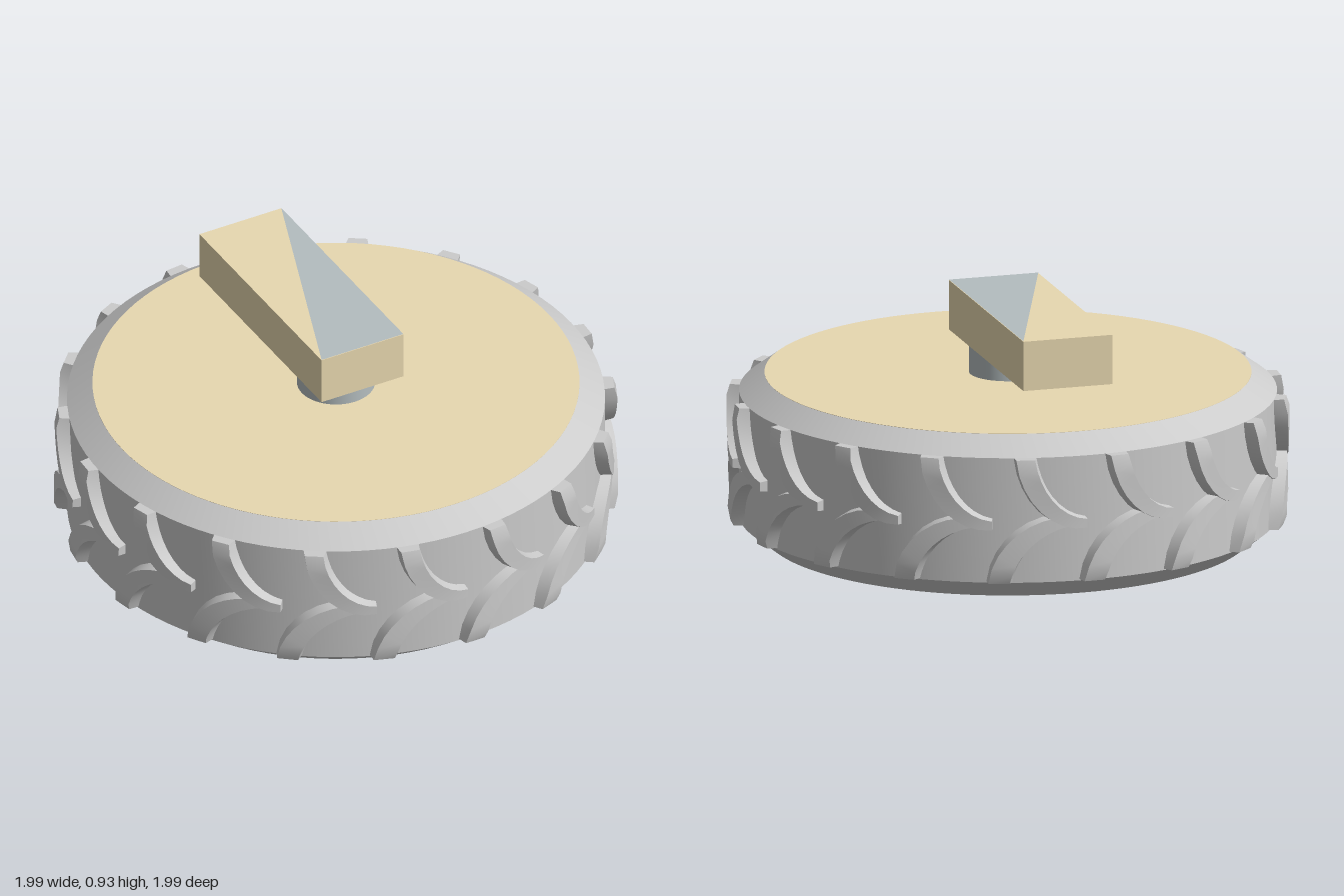
import * as THREE from 'three';
import { toCreasedNormals } from 'three/addons/utils/BufferGeometryUtils.js';

const rubber = new THREE.MeshStandardMaterial({ color: 0xcccccc });
const tan = new THREE.MeshStandardMaterial({ color: 0xe8d8b0 });
const slate = new THREE.MeshStandardMaterial({ color: 0xb4bdbf });
const rad = THREE.MathUtils.degToRad;

function add(parent, name, geometry, material, x = 0, y = 0, z = 0) {
  const mesh = new THREE.Mesh(geometry, material);
  mesh.name = name;
  mesh.position.set(x, y, z);
  parent.add(mesh);
  return mesh;
}

// Curved tread lug: a box section swept from the tyre edge to the centre line.
// dir +1 climbs from the lower edge, -1 descends from the upper edge.
function lugGeometry(dir, yEdge, yEnd, sweep, wide, narrow) {
  const steps = 8, pos = [], index = [];
  const path = t => [sweep * (1 - Math.cos(t * Math.PI / 2)) * 0.8 + sweep * t * 0.2,
    yEdge + (yEnd - yEdge) * Math.sin(t * Math.PI / 2)];
  for (let i = 0; i <= steps; i++) {
    const t = i / steps, [a, y] = path(t), [a2, y2] = path(t + 0.01);
    const len = Math.hypot(a2 - a, y2 - y);
    // keep the first section level with the tyre edge
    const na = i ? Math.abs(y2 - y) / len : 1;
    const ny = i ? -dir * (a2 - a) / len : 0;
    const w = THREE.MathUtils.lerp(wide, narrow, t * t) / 2;
    const top = i === 0 ? 0.985 : 0.997 - 0.017 * t * t;
    for (const [s, r] of [[-1.2, 0.94], [-0.9, top], [0.9, top], [1.2, 0.94]]) {
      const ang = a + na * w * s, h = y + ny * w * s;
      pos.push(Math.sin(ang) * r, h, Math.cos(ang) * r);
    }
  }
  const quad = (a, b, c, d) => index.push(...(dir > 0 ? [a, b, c, a, c, d] : [a, c, b, a, d, c]));
  for (let i = 0; i < steps; i++) {
    for (let k = 0; k < 4; k++) {
      const n = (k + 1) % 4, p = i * 4;
      quad(p + k, p + n, p + 4 + n, p + 4 + k);
    }
  }
  quad(3, 2, 1, 0);
  const e = steps * 4;
  quad(e, e + 1, e + 2, e + 3);
  const g = new THREE.BufferGeometry();
  g.setAttribute('position', new THREE.Float32BufferAttribute(pos, 3));
  g.setIndex(index);
  return toCreasedNormals(g, 0.5);
}

function createTyre() {
  const tyre = new THREE.Group();
  tyre.name = 'tyre';
  const profile = [[0.68, 0.05], [0.86, 0.05], [0.95, 0.12], [0.95, 0.575], [0.86, 0.64]]
    .map(p => new THREE.Vector2(...p));
  add(tyre, 'tyreBody', toCreasedNormals(new THREE.LatheGeometry(profile, 96), 0.4), rubber);
  const lower = lugGeometry(1, 0.125, 0.345, rad(15), 0.085, 0.035);
  const upper = lugGeometry(-1, 0.575, 0.335, rad(13), 0.075, 0.035);
  for (let i = 0; i < 18; i++) {
    add(tyre, 'lowerLug', lower, rubber).rotation.y = rad(1 + i * 20);
    add(tyre, 'upperLug', upper, rubber).rotation.y = rad(6.5 + i * 20);
  }
  return tyre;
}

// Wheel disc with a centre bore and nine scalloped pockets
function hubGeometry() {
  const shape = new THREE.Shape().absarc(0, 0, 0.69, 0, Math.PI * 2);
  shape.holes.push(new THREE.Path().absarc(0, 0, 0.31, 0, Math.PI * 2));
  const R = 0.62, half = 0.28;
  for (let i = 0; i < 9; i++) {
    const pts = [], turn = rad(26 + i * 40);
    for (let k = 0; k <= 8; k++) {
      const a = -half + 2 * half * k / 8;
      pts.push(new THREE.Vector2(R * Math.cos(a), R * Math.sin(a)));
    }
    for (let k = 1; k < 16; k++) {
      const u = Math.PI * k / 16;
      pts.push(new THREE.Vector2(R * Math.cos(half) - 0.14 * Math.sin(u), R * Math.sin(half) * Math.cos(u)));
    }
    pts.forEach(p => p.rotateAround(new THREE.Vector2(), turn));
    shape.holes.push(new THREE.Path(pts));
  }
  const g = new THREE.ExtrudeGeometry(shape, { depth: 0.45, bevelEnabled: false, curveSegments: 48 });
  return toCreasedNormals(g.rotateX(Math.PI / 2), 0.5);
}

function createRim() {
  const rim = new THREE.Group();
  rim.name = 'rim';
  add(rim, 'hubDisc', hubGeometry(), tan, 0, 0.495);
  add(rim, 'backPlate', new THREE.CylinderGeometry(0.86, 0.86, 0.15, 96), tan, 0, 0.566);
  // nine wheel bolts
  const head = new THREE.CylinderGeometry(0.052, 0.046, 0.04, 16);
  const stud = new THREE.CylinderGeometry(0.028, 0.024, 0.03, 12);
  for (let i = 0; i < 9; i++) {
    const a = rad(6 + i * 40), x = 0.44 * Math.cos(a), z = 0.44 * Math.sin(a);
    add(rim, 'boltHead', head, tan, x, 0.036, z);
    add(rim, 'boltTip', stud, tan, x, 0.02, z);
  }
  // six pins inside the bore
  const pin = new THREE.CylinderGeometry(0.033, 0.033, 0.36, 16);
  for (let i = 0; i < 6; i++) {
    const a = rad(10 + i * 60);
    add(rim, 'borePin', pin, tan, 0.2 * Math.cos(a), 0.33, 0.2 * Math.sin(a));
  }
  return rim;
}

function createMount() {
  const mount = new THREE.Group();
  mount.name = 'mount';
  add(mount, 'axle', new THREE.CylinderGeometry(0.138, 0.138, 0.13, 48), slate, 0, 0.69);
  add(mount, 'mountBlock', new THREE.BoxGeometry(0.33, 0.18, 0.89), tan, -0.015, 0.84, -0.225);
  // grey half of the block's top face
  const half = new THREE.Shape([[0.15, 0.67], [-0.18, -0.22], [0.15, -0.22]].map(p => new THREE.Vector2(...p)));
  add(mount, 'blockTopPanel', new THREE.ShapeGeometry(half).rotateX(-Math.PI / 2), slate, 0, 0.932);
  return mount;
}

export function createModel() {
  const model = new THREE.Group();
  model.name = 'wheel';
  model.add(createTyre(), createRim(), createMount());
  return model;
}
